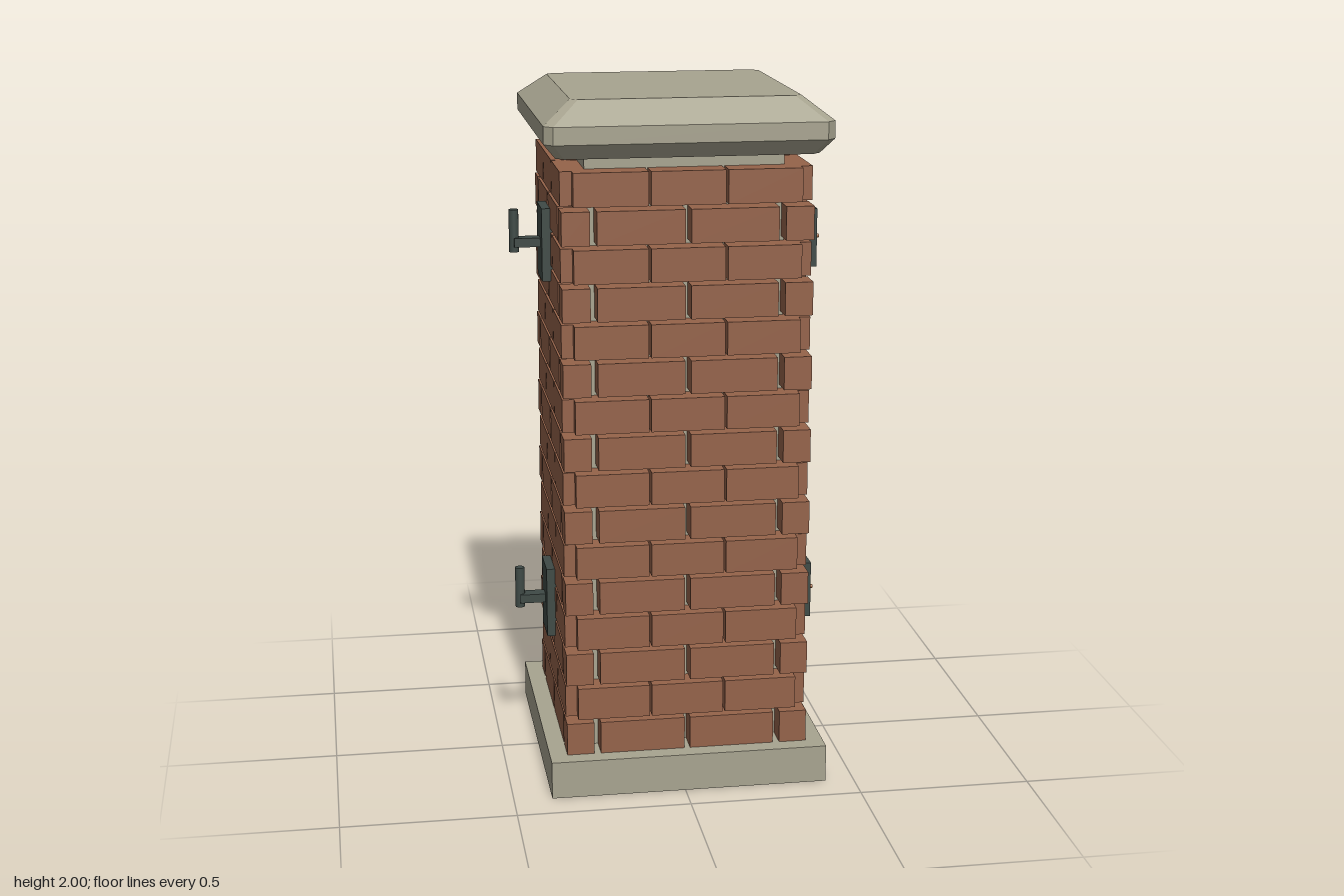
import * as THREE from 'three';
import { ConvexGeometry } from 'three/addons/geometries/ConvexGeometry.js';

const mat = (color) => new THREE.MeshStandardMaterial({ color });
const STONE = mat(0xa8a490), BRICK = mat(0x95634a), IRON = mat(0x3f4a46), COPPER = mat(0xa0653c);

function add(parent, name, geometry, material, x = 0, y = 0, z = 0) {
  const mesh = new THREE.Mesh(geometry, material);
  mesh.name = name;
  mesh.position.set(x, y, z);
  parent.add(mesh);
  return mesh;
}
const box = (w, h, d) => new THREE.BoxGeometry(w, h, d);

// Square ring of points with cut corners
function ring(y, half, cut) {
  const pts = [];
  for (const sx of [-1, 1]) for (const sz of [-1, 1]) {
    pts.push(new THREE.Vector3(sx * half, y, sz * (half - cut)));
    pts.push(new THREE.Vector3(sx * (half - cut), y, sz * half));
  }
  return pts;
}

function createBrickwork() {
  const bricks = new THREE.Group();
  bricks.name = 'brickwork';
  const rows = 16, pitch = 0.1067, height = 0.095, outer = 0.352, depth = 0.079;
  const wide = box(0.246, height, depth);
  const narrow = box(0.208, height, depth);
  const corner = box(depth, height, depth);
  const c = outer - depth / 2;
  for (let i = 0; i < rows; i++) {
    const course = new THREE.Group();
    course.name = 'brickCourse';
    course.position.y = 0.11 + i * pitch + height / 2;
    bricks.add(course);
    // Even courses: two bricks a side and corner blocks; odd courses: three a side
    const even = i % 2 === 0;
    const offsets = even ? [-0.131, 0.131] : [-0.2147, 0, 0.2147];
    for (let s = 0; s < 4; s++) {
      const side = new THREE.Group();
      side.name = 'courseSide';
      side.rotation.y = s * Math.PI / 2;
      course.add(side);
      for (const x of offsets) add(side, 'brick', even ? wide : narrow, BRICK, x, 0, c);
      if (even) add(side, 'cornerBrick', corner, BRICK, c, 0, c);
    }
  }
  return bricks;
}

// Gate hinge: plate, arm and upright pin on the right side
function createHinge(y) {
  const hinge = new THREE.Group();
  hinge.name = 'hinge';
  hinge.position.y = y;
  add(hinge, 'hingePlate', box(0.03, 0.21, 0.13), IRON, -0.348, 0, 0);
  add(hinge, 'hingeArm', box(0.085, 0.026, 0.042), IRON, -0.395, 0, 0);
  add(hinge, 'hingePin', new THREE.CylinderGeometry(0.014, 0.014, 0.123, 16), IRON, -0.437, 0.033, 0);
  return hinge;
}

// Latch: spacer block, plate and two bolts on the left side
function createLatch(y) {
  const latch = new THREE.Group();
  latch.name = 'latch';
  latch.position.y = y;
  add(latch, 'latchBlock', box(0.08, 0.09, 0.06), IRON, 0.365, 0, 0);
  add(latch, 'latchPlate', box(0.037, 0.17, 0.136), IRON, 0.419, 0, 0);
  for (const z of [-0.038, 0.038]) {
    const bolt = add(latch, 'latchBolt', new THREE.CylinderGeometry(0.006, 0.006, 0.109, 10), COPPER, 0.3945, 0, z);
    bolt.rotation.z = Math.PI / 2;
  }
  return latch;
}

export function createModel() {
  const model = new THREE.Group();
  model.name = 'gatePillar';

  // Pillar
  const pillar = new THREE.Group();
  pillar.name = 'pillar';
  pillar.position.x = 0.0135;
  model.add(pillar);
  add(pillar, 'base', box(0.806, 0.11, 0.806), STONE, 0, 0.055, 0);
  add(pillar, 'core', box(0.56, 1.76, 0.56), STONE, 0, 0.98, 0);
  pillar.add(createBrickwork());

  // Bevelled capstone
  const cap = new ConvexGeometry([
    ...ring(1.845, 0.365, 0.022), ...ring(1.888, 0.4, 0.024),
    ...ring(1.937, 0.4, 0.024), ...ring(2.0, 0.319, 0.02),
  ]);
  add(pillar, 'capstone', cap, STONE);

  // Ironwork
  for (const y of [0.476, 1.556]) model.add(createHinge(y), createLatch(y));
  return model;
}
